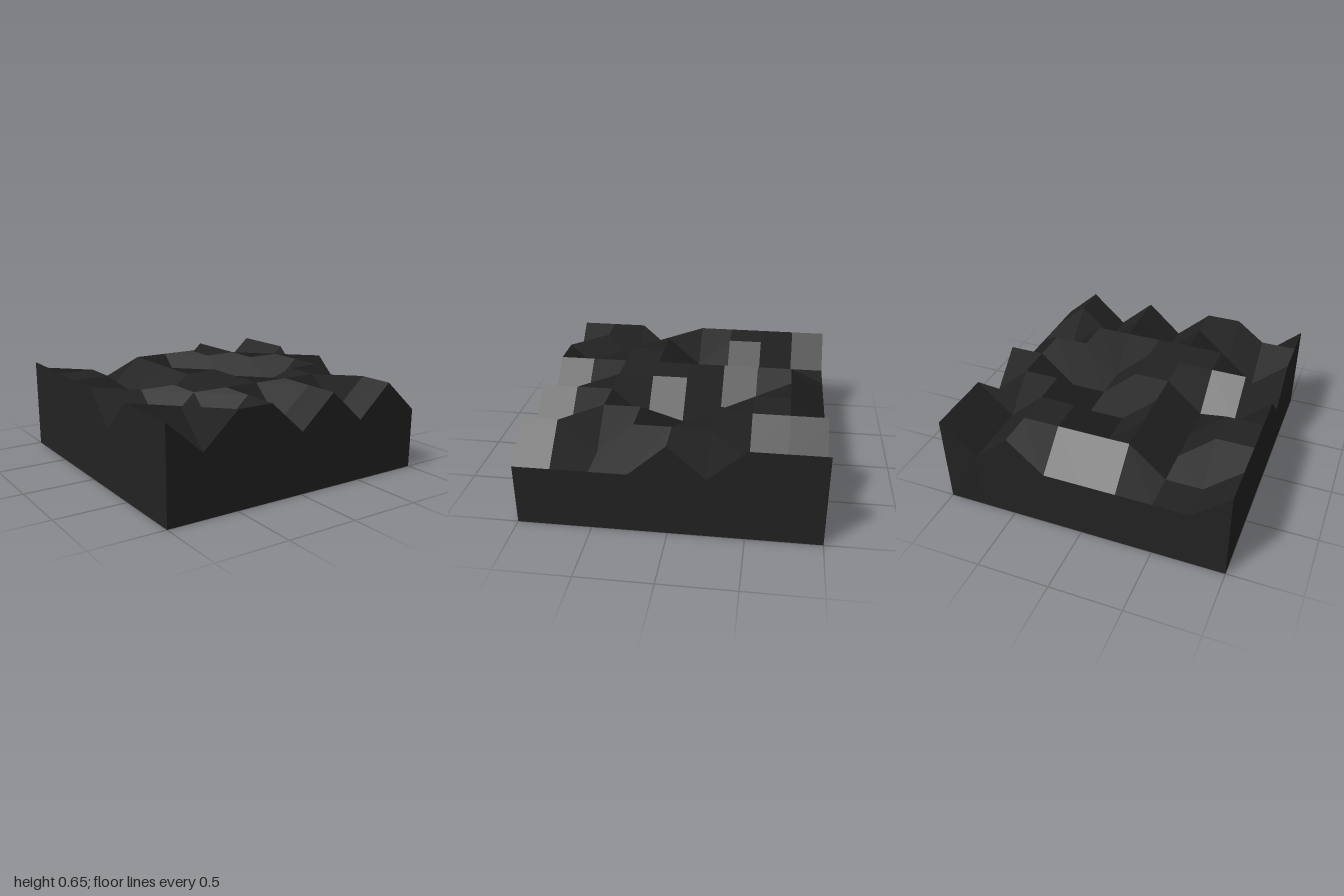
import * as THREE from 'three';

// Height map, back row first: 1 = peak, 0 = valley
const MAP = [
  '100000101',
  '100111101',
  '110101101',
  '110100110',
  '100110011',
  '011110110',
  '101111100',
  '110101010',
  '101101010',
];
const N = 8, LOW = 0.425, HIGH = 0.648;

const pos = (i) => -1 + (2 * i) / N;
const point = (c, r) => new THREE.Vector3(pos(c), MAP[r][c] === '1' ? HIGH : LOW, pos(r));
const floor = (v) => new THREE.Vector3(v.x, 0, v.z);

// Quads given counter-clockwise; each gets a single normal from its diagonals
function quadGeometry(quads) {
  const positions = [], normals = [];
  for (const [a, b, c, d] of quads) {
    const n = c.clone().sub(a).cross(d.clone().sub(b)).normalize();
    for (const v of [a, b, c, a, c, d]) {
      positions.push(v.x, v.y, v.z);
      normals.push(n.x, n.y, n.z);
    }
  }
  const g = new THREE.BufferGeometry();
  g.setAttribute('position', new THREE.Float32BufferAttribute(positions, 3));
  g.setAttribute('normal', new THREE.Float32BufferAttribute(normals, 3));
  return g;
}

export function createModel() {
  const group = new THREE.Group();
  group.name = 'terrainBlock';
  const rock = new THREE.MeshStandardMaterial({ color: 0x222222 });
  rock.name = 'dark rock';

  const add = (name, quads) => {
    const mesh = new THREE.Mesh(quadGeometry(quads), rock);
    mesh.name = name;
    group.add(mesh);
  };

  // Faceted ground: one quad per grid cell, split from back left to front right
  const ground = [];
  for (let r = 0; r < N; r++) {
    for (let c = 0; c < N; c++) {
      ground.push([point(c, r), point(c, r + 1), point(c + 1, r + 1), point(c + 1, r)]);
    }
  }
  add('groundSurface', ground);

  // Side walls follow the jagged rim; each path runs left to right seen from outside
  const sides = {
    frontWall: (i) => point(i, N),
    rightWall: (i) => point(N, N - i),
    backWall: (i) => point(N - i, 0),
    leftWall: (i) => point(0, i),
  };
  for (const [name, rim] of Object.entries(sides)) {
    const wall = [];
    for (let i = 0; i < N; i++) {
      const a = rim(i), b = rim(i + 1);
      wall.push([floor(a), floor(b), b, a]);
    }
    add(name, wall);
  }

  // Underside
  add('underside', [[point(0, 0), point(N, 0), point(N, N), point(0, N)].map(floor)]);
  return group;
}
